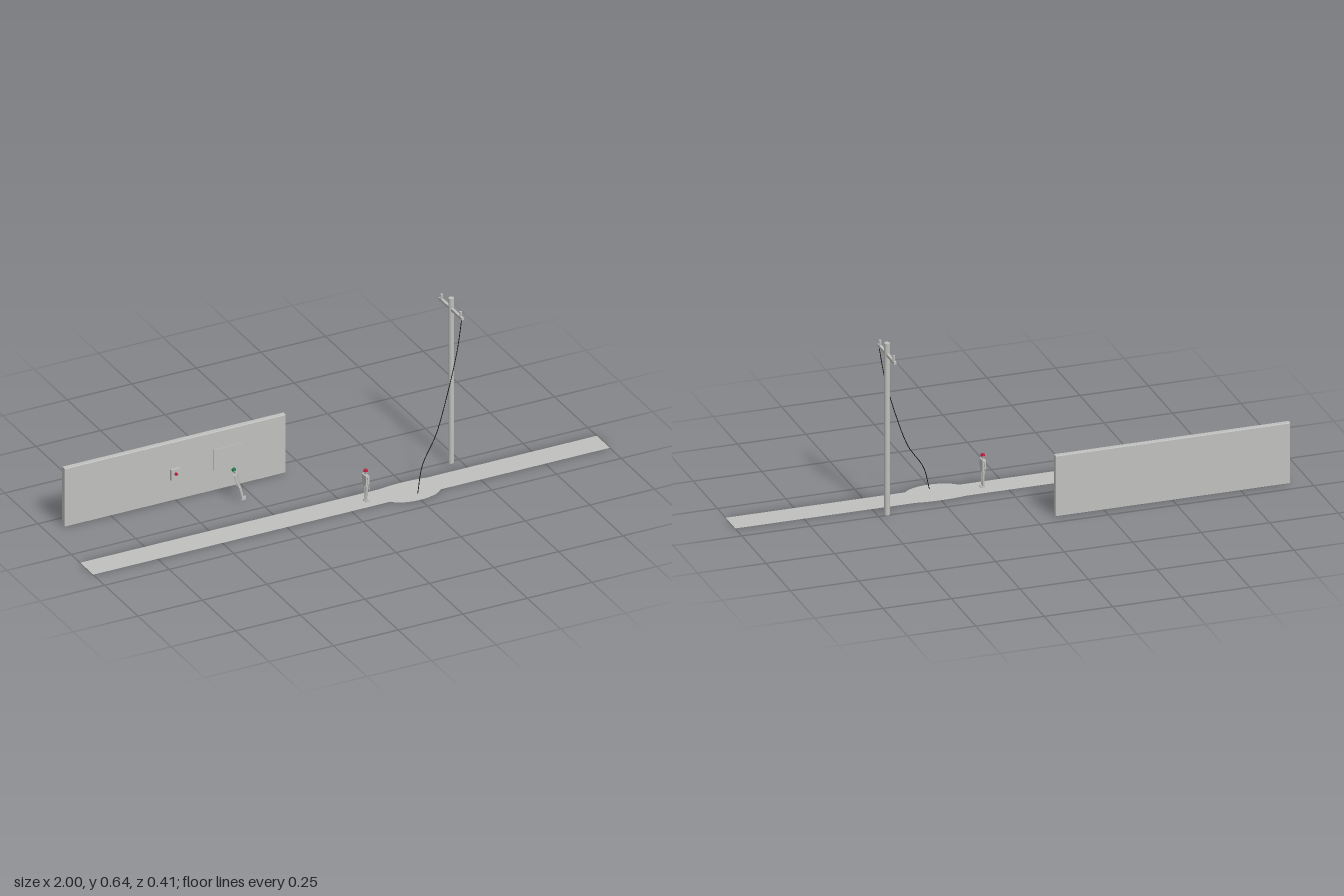
import * as THREE from 'three';

export function createModel() {
  const mat = (name, color, side = THREE.FrontSide) => {
    const m = new THREE.MeshStandardMaterial({ color, side });
    m.name = name;
    return m;
  };
  const grey = mat('concrete grey', 0xc0c0be);
  const sheet = grey;
  sheet.side = THREE.DoubleSide;
  const black = mat('cable black', 0x151515);
  const red = mat('signal red', 0xc01c3c);
  const green = mat('cap green', 0x1c7a48);

  const model = new THREE.Group();
  const add = (parent, name, geo, material, x = 0, y = 0, z = 0) => {
    const m = new THREE.Mesh(geo, material);
    m.name = name;
    m.position.set(x, y, z);
    parent.add(m);
    return m;
  };
  const box = (w, h, d) => new THREE.BoxGeometry(w, h, d);
  const cyl = (top, bottom, h, n = 16) => new THREE.CylinderGeometry(top, bottom, h, n);
  // tapered limb between two points
  const limb = (parent, name, a, b, ra, rb) => {
    const p = new THREE.Vector3(...a), q = new THREE.Vector3(...b);
    const dir = p.clone().sub(q);
    const m = add(parent, name, cyl(ra, rb, dir.length(), 10), grey);
    m.position.copy(p).add(q).multiplyScalar(0.5);
    m.quaternion.setFromUnitVectors(new THREE.Vector3(0, 1, 0), dir.normalize());
  };

  // Flat path with a rounded bulge where the cable lands
  const path = new THREE.Shape();
  path.moveTo(-1, -0.165);
  path.lineTo(0.15, -0.165);
  path.bezierCurveTo(0.19, -0.212, 0.305, -0.212, 0.345, -0.165);
  path.lineTo(1, -0.165);
  path.lineTo(1, -0.067);
  path.lineTo(0.34, -0.067);
  path.bezierCurveTo(0.29, -0.057, 0.21, -0.057, 0.16, -0.067);
  path.lineTo(-1, -0.067);
  path.closePath();
  add(model, 'path', new THREE.ShapeGeometry(path, 20).rotateX(-Math.PI / 2), sheet, 0, 0.0005, 0);

  // Wall with small chamfers
  const wallW = 0.857, wallH = 0.228, bevel = 0.002;
  const outline = new THREE.Shape();
  const hw = wallW / 2 - bevel, hh = wallH / 2 - bevel;
  outline.moveTo(-hw, -hh);
  outline.lineTo(hw, -hh);
  outline.lineTo(hw, hh);
  outline.lineTo(-hw, hh);
  outline.closePath();
  const wallGeo = new THREE.ExtrudeGeometry(outline, {
    depth: 0.016, bevelEnabled: true, bevelSize: bevel, bevelThickness: bevel, bevelSegments: 1,
  });
  add(model, 'wall', wallGeo, grey, -0.5015, wallH / 2, -0.204);

  // Wall fittings
  add(model, 'wallPanel', box(0.115, 0.082, 0.002), grey, -0.295, 0.119, -0.185);
  add(model, 'switchBox', box(0.036, 0.042, 0.008), grey, -0.503, 0.104, -0.182);
  add(model, 'switchButton', cyl(0.0055, 0.0055, 0.005).rotateX(Math.PI / 2), red, -0.503, 0.107, -0.1755);

  // Utility pole
  const pole = new THREE.Group();
  pole.name = 'utilityPole';
  pole.position.set(0.467, 0, 0.008);
  model.add(pole);
  add(pole, 'post', cyl(0.01, 0.01, 0.644, 20), grey, 0, 0.322, 0);
  add(pole, 'crossArm', box(0.01, 0.01, 0.171), grey, 0, 0.602, 0);
  for (const s of [-1, 1]) add(pole, 'insulator', cyl(0.0045, 0.0045, 0.018, 12), grey, 0, 0.616, s * 0.0715);

  // Fallen cable
  const cable = new THREE.CatmullRomCurve3([
    [0.47, 0.6, 0.082], [0.446, 0.476, 0.091], [0.398, 0.315, 0.105],
    [0.35, 0.193, 0.121], [0.287, 0.096, 0.14], [0.258, 0.002, 0.161],
  ].map((p) => new THREE.Vector3(...p)));
  add(model, 'cable', new THREE.TubeGeometry(cable, 60, 0.0014, 8), black);

  // Standing person, facing local +x
  function person(name, capMaterial) {
    const g = new THREE.Group();
    g.name = name;
    add(g, 'chest', box(0.013, 0.029, 0.033), grey, 0, 0.0895, 0);
    add(g, 'hips', box(0.0115, 0.014, 0.024), grey, 0, 0.068, 0);
    add(g, 'neck', cyl(0.003, 0.003, 0.006, 10), grey, 0, 0.106, 0);
    const head = add(g, 'head', new THREE.SphereGeometry(0.0068, 16, 12), grey, 0, 0.1145, 0);
    head.scale.y = 1.15;
    const cap = new THREE.SphereGeometry(0.0078, 16, 8, 0, Math.PI * 2, 0, Math.PI / 2);
    add(g, 'cap', cap, capMaterial, 0, 0.119, 0);
    add(g, 'capRim', cyl(0.0078, 0.0078, 0.002), capMaterial, 0, 0.118, 0);
    for (const s of [-1, 1]) {
      limb(g, 'upperArm', [0, 0.102, s * 0.018], [-0.001, 0.08, s * 0.0215], 0.0032, 0.0028);
      limb(g, 'forearm', [-0.001, 0.08, s * 0.0215], [0.002, 0.06, s * 0.0225], 0.0028, 0.002);
      add(g, 'hand', new THREE.SphereGeometry(0.0025, 10, 8), grey, 0.002, 0.058, s * 0.0225);
      limb(g, 'thigh', [0, 0.064, s * 0.006], [0.001, 0.034, s * 0.0055], 0.0052, 0.0045);
      limb(g, 'shin', [0.001, 0.036, s * 0.0055], [0, 0.003, s * 0.0055], 0.0045, 0.0038);
      add(g, 'shoe', box(0.016, 0.006, 0.0085), grey, 0.003, 0.003, s * 0.0055);
    }
    model.add(g);
    return g;
  }

  person('standingPerson', red).position.set(0.077, 0, 0.1215);

  // Second person leans back, off balance
  const leaning = person('leaningPerson', green);
  leaning.position.set(-0.294, 0.004, -0.079);
  leaning.rotation.set(0, -0.45, 0.27, 'YXZ');

  return model;
}
